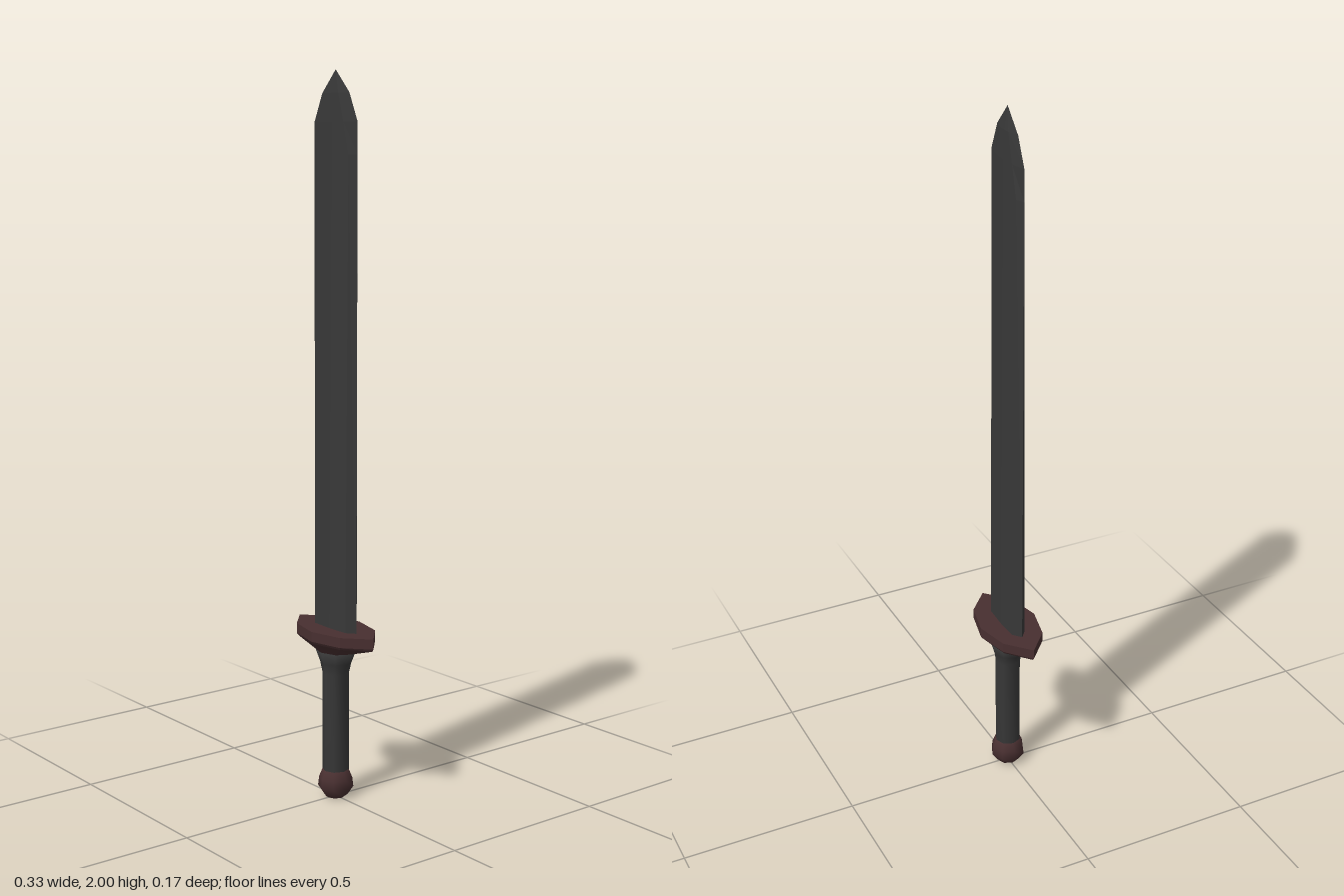
import * as THREE from 'three';

const darkSteel = new THREE.MeshStandardMaterial({ color: 0x383838 });
darkSteel.name = 'darkSteel';
const darkRed = new THREE.MeshStandardMaterial({ color: 0x482f30 });
darkRed.name = 'darkRed';

// Eight-sided ring from edge point (ex, 0), shoulder (sx, sz) and ridge (0, rz)
const ring = (y, ex, sx, sz, rz) => [
  [ex, 0], [sx, sz], [0, rz], [-sx, sz], [-ex, 0], [-sx, -sz], [0, -rz], [sx, -sz],
].map(([x, z]) => [x, y, z]);

// Regular or oval eight-sided ring
const oval = (y, rx, rz = rx) => ring(y, rx, rx * Math.SQRT1_2, rz * Math.SQRT1_2, rz);

// Skin a stack of rings from bottom to top and close both ends
function loft(name, rings, material, smooth = false) {
  const n = 8, last = rings.length - 1;
  const points = rings.flat();
  const index = [];
  for (let i = 0; i < last; i++) {
    for (let k = 0; k < n; k++) {
      const a = i * n + k, b = i * n + (k + 1) % n;
      index.push(a, a + n, b + n, a, b + n, b);
    }
  }
  const bottom = points.length, top = bottom + 1;
  points.push([0, rings[0][0][1], 0], [0, rings[last][0][1], 0]);
  for (let k = 0; k < n; k++) {
    const next = (k + 1) % n;
    index.push(bottom, k, next, top, last * n + next, last * n + k);
  }
  let geometry = new THREE.BufferGeometry();
  geometry.setAttribute('position', new THREE.Float32BufferAttribute(points.flat(), 3));
  geometry.setIndex(index);
  if (!smooth) geometry = geometry.toNonIndexed();
  geometry.computeVertexNormals();
  const mesh = new THREE.Mesh(geometry, material);
  mesh.name = name;
  return mesh;
}

export function createModel() {
  const sword = new THREE.Group();
  sword.name = 'sword';

  // Bevelled blade, thinning slightly towards the pointed tip
  sword.add(loft('blade', [
    ring(0.47, 0.092, 0.068, 0.02, 0.023),
    ring(1.78, 0.092, 0.068, 0.011, 0.014),
    ring(1.865, 0.092, 0.046, 0.011, 0.013),
    ring(1.94, 0.058, 0.022, 0.009, 0.010),
    ring(2.0, 0.0005, 0.0003, 0.0003, 0.0005),
  ], darkSteel));

  // Wide diamond-like guard tapering down to the grip
  sword.add(loft('guard', [
    ring(0.425, 0.065, 0.046, 0.036, 0.052),
    ring(0.455, 0.16, 0.094, 0.058, 0.08),
    ring(0.462, 0.165, 0.097, 0.062, 0.085),
    ring(0.49, 0.165, 0.097, 0.062, 0.085),
  ], darkRed));

  // Grip flaring out under the guard
  sword.add(loft('grip', [
    oval(0.06, 0.037),
    oval(0.36, 0.037),
    oval(0.39, 0.047, 0.041),
    oval(0.43, 0.066, 0.053),
  ], darkSteel, true));

  // Rounded pommel
  sword.add(loft('pommel', [
    oval(0, 0.026),
    oval(0.006, 0.034),
    oval(0.03, 0.05),
    oval(0.055, 0.047),
    oval(0.082, 0.036),
  ], darkRed, true));

  return sword;
}
